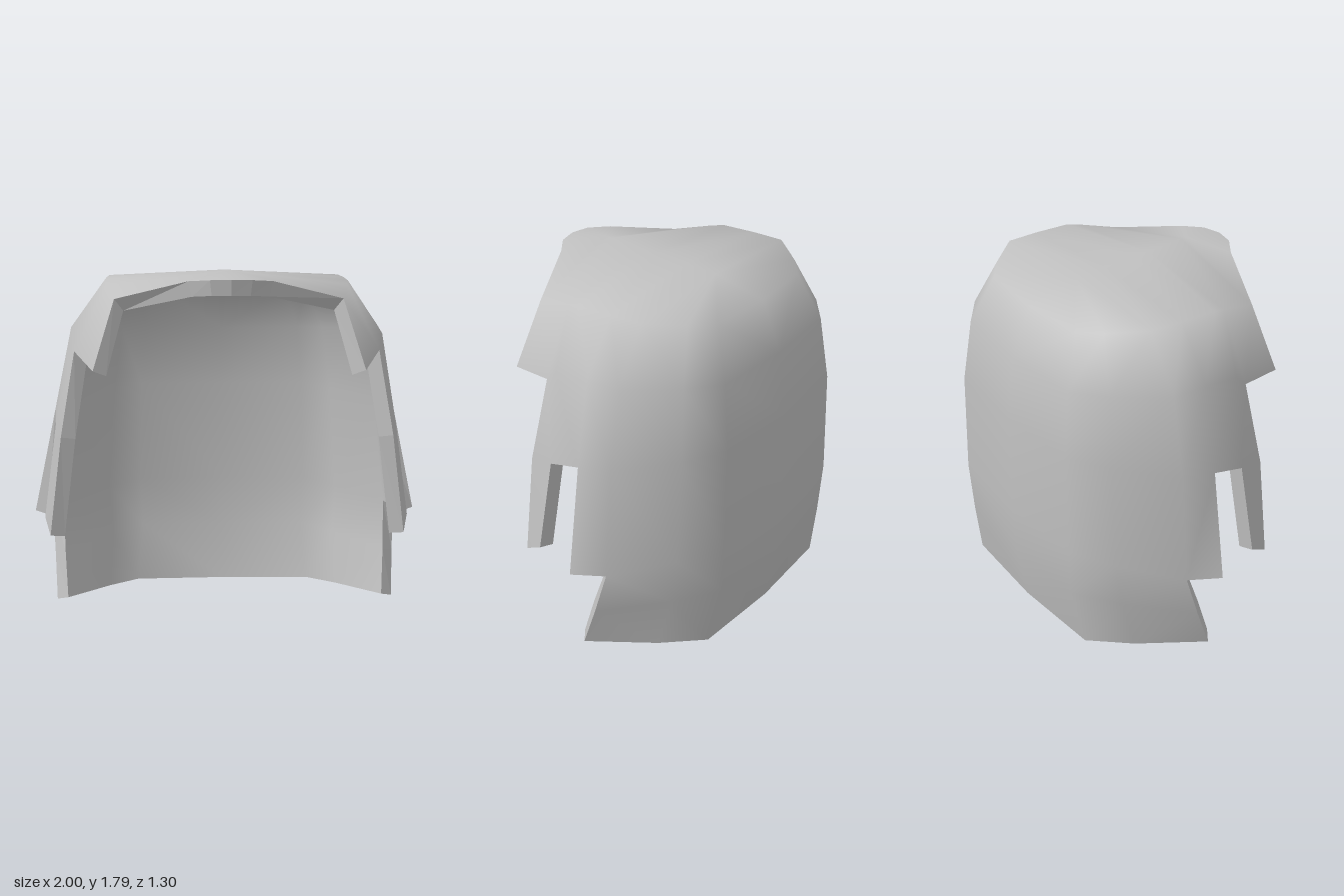
import * as THREE from 'three';
import { mergeVertices } from 'three/addons/utils/BufferGeometryUtils.js';

const THICKNESS = 0.075;

// Guide lines of the left half, each running downward from the crown edge
const BACK = [ // height, centre z, half width of the flat back
  [1.7, -.515, .35], [1.45, -.615, .43], [1.12, -.655, .46],
  [.58, -.655, .476], [.31, -.64, .46], [.005, -.585, .5],
];
const SIDE = [[.6, 1.737, -.24], [.79, 1.48, -.25], [.865, 1.08, -.25], [.922, .52, -.25], [.905, .26, -.16], [.893, .03, -.075]];
const TAB = [[.61, 1.735, -.07], [.795, 1.48, -.07], [.885, 1.05, -.07], [1, .51, -.09]];
const STRAND_BACK = [[.61, 1.73, .12], [.79, 1.46, .12], [.87, 1, .11], [.93, .53, .155]];
const STRAND_FRONT = [[.6, 1.715, .19], [.765, 1.385, .2], [.835, .96, .26], [.895, .46, .272]];
const LOCK = [[.556, 1.66, .4], [.66, 1.32, .485]];
const BRIM = [[.2, 1.755, .56], [.1, 1.764, .63], [0, 1.766, .65]];

// Columns from back centre round the left side to front centre, each led by its ridge point
function makeColumns() {
  const centre = BACK.map(([y, z]) => [0, y, z]);
  const flat = BACK.map(([y, z, x]) => [x, y + .004, z + .025]);
  // rounded back corner, between the flat back and the side
  const corner = flat.map((p, r) => p.map((v, k) => (v + (SIDE[r][k] - v) * .4) * (k === 1 ? 1 : 1.03)));
  const columns = [centre, flat, corner, SIDE, TAB, STRAND_BACK, STRAND_FRONT, LOCK, ...BRIM.map(p => [p])];
  return columns.map(column => {
    const z = THREE.MathUtils.clamp(column[0][2], -.24, .43);
    return [[0, 1.777 + .053 * z, z], ...column];
  });
}

// Mirrored outer skin as one welded, smooth surface
function makeOuter() {
  const pos = [];
  const addTriangle = (a, b, c) => {
    const [A, B, C] = [a, b, c].map(p => new THREE.Vector3(...p));
    if (B.clone().sub(A).cross(C.clone().sub(A)).length() < 1e-6) return;
    pos.push(...a, ...b, ...c);
    for (const p of [a, c, b]) pos.push(p[0] ? -p[0] : 0, p[1], p[2]);
  };
  const columns = makeColumns();
  for (let c = 0; c < columns.length - 1; c++) {
    const left = columns[c], right = columns[c + 1];
    for (let r = 0; r < Math.min(left.length, right.length) - 1; r++) {
      if (c === 4 && r === 3) continue; // side notch
      addTriangle(left[r], right[r], left[r + 1]);
      addTriangle(right[r], right[r + 1], left[r + 1]);
    }
  }
  let geo = new THREE.BufferGeometry();
  geo.setAttribute('position', new THREE.Float32BufferAttribute(pos, 3));
  geo = mergeVertices(geo, 1e-4);
  geo.computeVertexNormals();
  return geo;
}

// Lining: the outer skin pushed inward and turned round
function makeInner(outer) {
  const geo = outer.clone();
  const p = geo.attributes.position, n = outer.attributes.normal;
  for (let i = 0; i < p.count; i++) {
    p.setXYZ(i, p.getX(i) - n.getX(i) * THICKNESS,
      Math.max(p.getY(i) - n.getY(i) * THICKNESS, 0.005),
      p.getZ(i) - n.getZ(i) * THICKNESS);
  }
  const idx = Array.from(outer.index.array);
  for (let i = 0; i < idx.length; i += 3) [idx[i + 1], idx[i + 2]] = [idx[i + 2], idx[i + 1]];
  geo.setIndex(idx);
  geo.computeVertexNormals();
  return geo;
}

// Flat walls joining skin and lining along every open edge
function makeRim(outer, inner) {
  const idx = outer.index.array, edges = new Set(), pos = [];
  const eachEdge = fn => {
    for (let i = 0; i < idx.length; i += 3)
      for (let k = 0; k < 3; k++) fn(idx[i + k], idx[i + (k + 1) % 3]);
  };
  eachEdge((a, b) => edges.add(`${a},${b}`));
  const put = (geo, i) => {
    const p = geo.attributes.position;
    pos.push(p.getX(i), p.getY(i), p.getZ(i));
  };
  eachEdge((a, b) => {
    if (edges.has(`${b},${a}`)) return;
    put(outer, b); put(outer, a); put(inner, a);
    put(outer, b); put(inner, a); put(inner, b);
  });
  const geo = new THREE.BufferGeometry();
  geo.setAttribute('position', new THREE.Float32BufferAttribute(pos, 3));
  geo.computeVertexNormals();
  return geo;
}

export function createModel() {
  const group = new THREE.Group();
  group.name = 'hairShell';
  const grey = new THREE.MeshStandardMaterial({ color: 0xc0c0c0 });
  grey.name = 'light grey';
  const outer = makeOuter(), inner = makeInner(outer);
  const parts = { outerShell: outer, innerLining: inner, rim: makeRim(outer, inner) };
  for (const [name, geo] of Object.entries(parts)) {
    const mesh = new THREE.Mesh(geo, grey);
    mesh.name = name;
    group.add(mesh);
  }
  return group;
}
